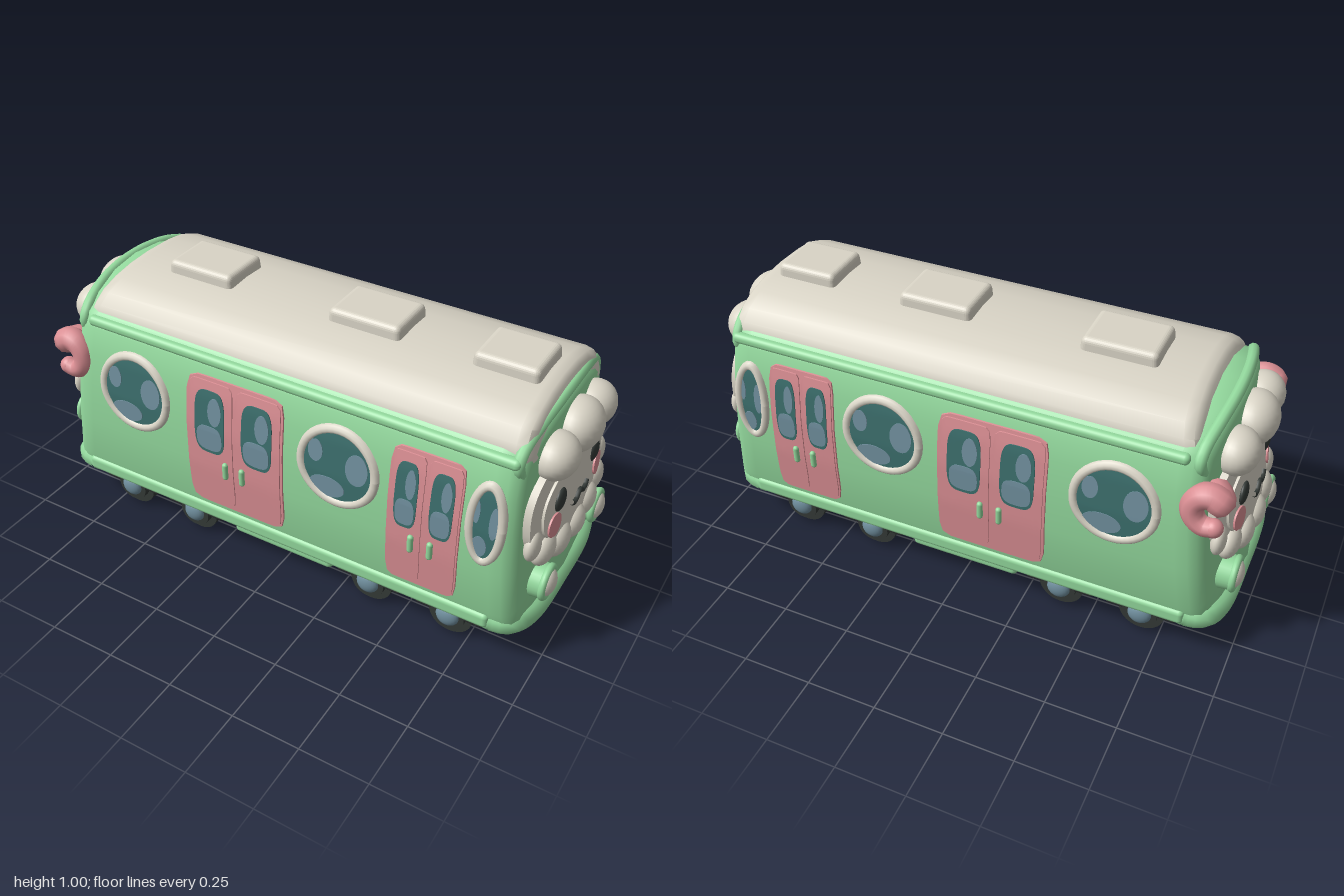
import * as THREE from 'three';
import { toCreasedNormals } from 'three/addons/utils/BufferGeometryUtils.js';
import { RoundedBoxGeometry } from 'three/addons/geometries/RoundedBoxGeometry.js';

const mat = (name, color) => Object.assign(new THREE.MeshStandardMaterial({ color }), { name });
const green = mat('mint green', 0x94da9e), cream = mat('cream', 0xd9d4c6), pink = mat('pink', 0xdb8f94);
const dark = mat('charcoal', 0x343a37), teal = mat('teal glass', 0x3c6f6d), blue = mat('blue grey', 0x71909f);

// Half cross-sections as [z, y], from bottom to top
const bodyHalf = [[0, 0.14], [0.3, 0.14], [0.36, 0.16], [0.377, 0.22], [0.385, 0.4], [0.381, 0.56], [0.367, 0.69],
  [0.346, 0.79], [0.32, 0.838], [0.25, 0.878], [0.13, 0.91], [0, 0.92]];
const roofHalf = [[0, 0.8], [0.318, 0.8], [0.318, 0.83], [0.305, 0.865], [0.27, 0.902], [0.2, 0.932], [0.11, 0.95], [0, 0.956]];

// Half width of the body wall at height y
function wall(y) {
  for (let i = 3; i < 8; i++) {
    const [z0, y0] = bodyHalf[i - 1], [z1, y1] = bodyHalf[i];
    if (y <= y1) return z0 + (z1 - z0) * (y - y0) / (y1 - y0);
  }
  return 0.346;
}
// Distance of each leaning end from the centre: the horned end leans and curves more
const leftEnd = (z, y) => 0.968 - 0.125 * (y - 0.15) - 0.45 * z * z;
const rightEnd = (z, y) => 0.96 - 0.07 * (y - 0.15) - 0.25 * z * z;

function add(parent, name, geo, material, x = 0, y = 0, z = 0) {
  const m = new THREE.Mesh(geo, material);
  m.name = name;
  m.position.set(x, y, z);
  parent.add(m);
  return m;
}

// Loft a mirrored cross-section along x; rings are [scale, setback] from centre to tip
function loft(half, cy, rings, left, right) {
  const ring = [...half, ...half.slice(1, -1).reverse().map(([z, y]) => [-z, y])];
  const n = ring.length, pos = [], idx = [];
  const rows = [...rings.slice().reverse().map(r => [...r, -1]), ...rings.map(r => [...r, 1])];
  for (const [k, d, s] of rows) for (const [pz, py] of ring) {
    const z = pz * k, y = cy + (py - cy) * k;
    pos.push(s * ((s < 0 ? left : right)(z, y) - d), y, z);
  }
  for (let i = 0; i < rows.length - 1; i++) for (let j = 0; j < n; j++) {
    const a = i * n + j, b = i * n + (j + 1) % n;
    idx.push(a, a + n, b + n, a, b + n, b);
  }
  const g = new THREE.BufferGeometry();
  g.setAttribute('position', new THREE.Float32BufferAttribute(pos, 3));
  g.setIndex(idx);
  return toCreasedNormals(g, 0.7);
}

// Move vertices by a rule
function warp(geo, rule) {
  const p = geo.attributes.position, v = new THREE.Vector3();
  for (let i = 0; i < p.count; i++) {
    rule(v.fromBufferAttribute(p, i));
    p.setXYZ(i, v.x, v.y, v.z);
  }
  geo.computeVertexNormals();
  return geo;
}
// Rounded plate pressed onto a surface; n = 2 is an ellipse, higher is squarer
function plate(cx, cy, rx, ry, off, surf, n = 2) {
  const g = warp(new THREE.RingGeometry(0.001, 1, 56, 10), v => {
    const r = Math.hypot(v.x, v.y), c = v.x / r, s = v.y / r, rim = r > 0.99;
    const f = (rim ? 1 : r * 1.1) / Math.pow(Math.abs(c) ** n + Math.abs(s) ** n, 1 / n);
    v.set(cx + c * f * rx, cy + s * f * ry, 0);
    v.z = surf(v.x, v.y) + (rim ? -0.012 : off);
  });
  return toCreasedNormals(g, 0.6);
}
// Oval ring pressed onto a surface
function hoop(cx, cy, rx, ry, tube, surf) {
  return warp(new THREE.TorusGeometry(1, tube, 10, 40), v => {
    const r = Math.hypot(v.x, v.y), c = v.x / r, s = v.y / r;
    v.set(cx + c * (rx + r - 1), cy + s * (ry + r - 1), v.z);
    v.z += surf(v.x, v.y);
  });
}
function tube(points, radius, taper = 1) {
  const curve = new THREE.CatmullRomCurve3(points.map(p => new THREE.Vector3(...p)));
  const g = new THREE.TubeGeometry(curve, 40, radius, 10), p = g.attributes.position, v = new THREE.Vector3();
  for (let i = 0; i < p.count; i++) {
    const t = Math.floor(i / 11) / 40;
    v.fromBufferAttribute(p, i).lerp(curve.getPointAt(t), t * (1 - taper));
    p.setXYZ(i, v.x, v.y, v.z);
  }
  return g;
}
const ball = (rx, ry, rz) => new THREE.SphereGeometry(1, 24, 16).scale(rx, ry, rz);

// Double door with glazed leaves and handles
function door(parent, cx, w) {
  const surf = (x, y) => wall(y);
  const g = new THREE.Group();
  g.name = 'door';
  parent.add(g);
  add(g, 'doorFrame', plate(cx, 0.495, w, 0.268, 0.006, surf, 12), pink);
  for (const s of [-1, 1]) {
    const lx = cx + s * w * 0.485, ww = w * 0.31;
    add(g, 'doorLeaf', plate(lx, 0.495, w * 0.465, 0.255, 0.01, surf, 12), pink);
    add(g, 'doorGlass', plate(lx, 0.592, ww, 0.125, 0.013, surf, 4), teal);
    add(g, 'glassReflection', plate(lx, 0.53, ww * 0.85, 0.05, 0.015, surf, 3), blue);
    add(g, 'glassReflection', plate(lx + ww * 0.35, 0.64, ww * 0.45, 0.055, 0.015, surf), blue);
    add(g, 'doorHandle', new THREE.CapsuleGeometry(0.011, 0.05, 4, 10), green, cx + s * 0.035, 0.41, 0.397);
  }
}
function porthole(parent, cx, cy, rx, ry) {
  const surf = (x, y) => wall(y);
  add(parent, 'windowGlass', plate(cx, cy, rx, ry, 0.006, surf), teal);
  add(parent, 'glassReflection', plate(cx + rx * 0.52, cy + ry * 0.12, rx * 0.3, ry * 0.42, 0.008, surf), blue);
  add(parent, 'glassReflection', plate(cx - rx * 0.25, cy - ry * 0.6, rx * 0.48, ry * 0.28, 0.008, surf), blue);
  add(parent, 'glassReflection', plate(cx - rx * 0.6, cy + ry * 0.3, rx * 0.2, ry * 0.3, 0.008, surf), blue);
  add(parent, 'windowRing', hoop(cx, cy, rx, ry, 0.016, surf), cream);
}

// Woolly face, lamps and bumper, facing local +z
function endFace(parent, surf) {
  add(parent, 'woolBase', plate(0, 0.575, 0.33, 0.2, 0.022, surf, 2.4), cream);
  add(parent, 'face', plate(0, 0.565, 0.262, 0.145, 0.03, surf, 2.3), cream);
  const wool = (x, y, rx, ry, rz) => add(parent, 'woolCurl', ball(rx, ry, rz), cream, x, y, surf(x, y) + 0.012);
  wool(0, 0.785, 0.108, 0.09, 0.085);
  wool(0, 0.395, 0.075, 0.058, 0.044);
  for (const s of [-1, 1]) {
    wool(s * 0.165, 0.765, 0.092, 0.077, 0.077);
    wool(s * 0.29, 0.49, 0.045, 0.055, 0.026);
    wool(s * 0.22, 0.435, 0.068, 0.056, 0.038);
    wool(s * 0.12, 0.405, 0.075, 0.058, 0.042);
    add(parent, 'eye', ball(0.04, 0.042, 0.016), dark, s * 0.15, 0.59, surf(0.15, 0.59) + 0.028);
    add(parent, 'cheek', plate(s * 0.19, 0.515, 0.043, 0.043, 0.036, surf), pink);
    // Headlamp
    const z = surf(0.225, 0.305) + 0.018;
    add(parent, 'lampRing', new THREE.TorusGeometry(0.053, 0.013, 12, 28), green, s * 0.225, 0.305, z + 0.018);
    const cup = add(parent, 'lampCup', new THREE.CylinderGeometry(0.06, 0.065, 0.06, 28), green, s * 0.225, 0.305, z - 0.015);
    cup.rotation.x = Math.PI / 2;
    add(parent, 'lampLens', ball(0.051, 0.051, 0.032), cream, s * 0.225, 0.305, z + 0.016);
    add(parent, 'bumperEnd', ball(0.05, 0.05, 0.05), green, s * 0.327, 0.168, 0.83);
  }
  const mouth = [[-0.07, 0.527], [-0.055, 0.514], [-0.03, 0.512], [0, 0.53], [0.03, 0.512], [0.055, 0.514], [0.07, 0.527]];
  add(parent, 'mouth', tube(mouth.map(([x, y]) => [x, y, surf(x, y) + 0.034]), 0.009), dark);
  // Bumper wraps round the corners
  add(parent, 'bumper', tube([[-0.327, 0.168, 0.83], [-0.312, 0.166, 0.885], [-0.24, 0.16, 0.915], [0, 0.155, 0.924],
    [0.24, 0.16, 0.915], [0.312, 0.166, 0.885], [0.327, 0.168, 0.83]], 0.053), green);
  // Raised brow above the face
  const half = [[0.31, 0.76], [0.326, 0.8], [0.298, 0.842], [0.2, 0.882], [0.1, 0.898]];
  const brow = [...half.map(([x, y]) => [-x, y]), [0, 0.903], ...half.slice().reverse()];
  add(parent, 'brow', tube(brow.map(([x, y]) => [x, y, surf(x, y) - 0.025]), 0.02), green);
}

export function createModel() {
  const root = new THREE.Group();
  root.name = 'tram';
  add(root, 'body', loft(bodyHalf, 0.5, [[1, 0.08], [0.99, 0.04], [0.96, 0.014], [0.9, 0.002], [0.7, 0], [0.4, 0], [0, 0]],
    leftEnd, rightEnd), green);
  add(root, 'roof', loft(roofHalf, 0.8, [[1, 0.05], [0.97, 0.02], [0.88, 0.005], [0.6, 0], [0, 0]],
    (z, y) => 0.82 - 0.3 * (y - 0.8), (z, y) => 0.9 - 0.12 * (y - 0.8)), cream);
  for (const [x, w] of [[-0.46, 0.275], [0.2, 0.28], [0.705, 0.235]])
    add(root, 'roofHatch', warp(new RoundedBoxGeometry(w, 0.09, 0.21, 3, 0.02), v => {
      const k = 1 - 0.6 * (v.y + 0.045);
      v.x *= k; v.z *= k;
    }), cream, x, 0.951, 0);

  // Both long sides carry the same doors and windows
  for (const s of [1, -1]) {
    const side = new THREE.Group();
    side.name = s > 0 ? 'frontSide' : 'backSide';
    side.rotation.y = s > 0 ? 0 : Math.PI;
    root.add(side);
    door(side, s * -0.14, 0.2);
    door(side, s * 0.59, 0.13);
    porthole(side, s * -0.57, 0.595, 0.14, 0.14);
    porthole(side, s * 0.27, 0.595, 0.14, 0.14);
    porthole(side, s * 0.8, 0.585, 0.054, 0.142);
    add(side, 'sill', new RoundedBoxGeometry(1.68, 0.06, 0.04, 3, 0.018), green, 0, 0.178, 0.364);
    add(side, 'gutter', new RoundedBoxGeometry(1.66, 0.04, 0.04, 3, 0.018), green, s * 0.045, 0.812, 0.329);
  }
  // Faces at both ends
  for (const [s, surf] of [[-1, leftEnd], [1, rightEnd]]) {
    const end = new THREE.Group();
    end.name = s < 0 ? 'hornedEnd' : 'plainEnd';
    end.rotation.y = s * Math.PI / 2;
    root.add(end);
    endFace(end, surf);
  }
  // Curled horns
  for (const s of [1, -1]) {
    const path = [[-0.87, 0.69, s * 0.3]];
    for (let i = 0; i <= 7; i++) {
      const a = 2.3 - i * 0.62, r = 0.048 + i * 0.001;
      path.push([-0.865 + Math.cos(a) * r, 0.657 + Math.sin(a) * r * 1.15, s * (0.35 + i * 0.002)]);
    }
    add(root, 'horn', tube(path, 0.052, 0.62), pink);
    add(root, 'hornTip', ball(0.032, 0.032, 0.032), pink, ...path[path.length - 1]);
  }
  // Wheels, axles and under-floor box
  add(root, 'underfloorBox', new RoundedBoxGeometry(0.42, 0.1, 0.64, 3, 0.02), green, 0, 0.108, 0);
  for (const x of [-0.68, -0.38, 0.37, 0.68]) {
    const set = new THREE.Group();
    set.name = 'wheelSet';
    set.position.x = x;
    root.add(set);
    const rod = (name, r, len, y, z) => {
      add(set, name, new THREE.CylinderGeometry(r, r, len, 28), dark, 0, y, z).rotation.x = Math.PI / 2;
    };
    rod('axle', 0.05, 0.5, 0.09, 0);
    for (const s of [1, -1]) {
      rod('wheel', 0.082, 0.075, 0.082, s * 0.272);
      rod('axleBox', 0.062, 0.07, 0.092, s * 0.3);
      add(set, 'wheelBracket', new RoundedBoxGeometry(0.26, 0.06, 0.1, 3, 0.015), dark, 0, 0.12, s * 0.285);
      add(set, 'hub', ball(0.043, 0.043, 0.025), blue, 0, 0.095, s * 0.333);
    }
  }
  return root;
}
